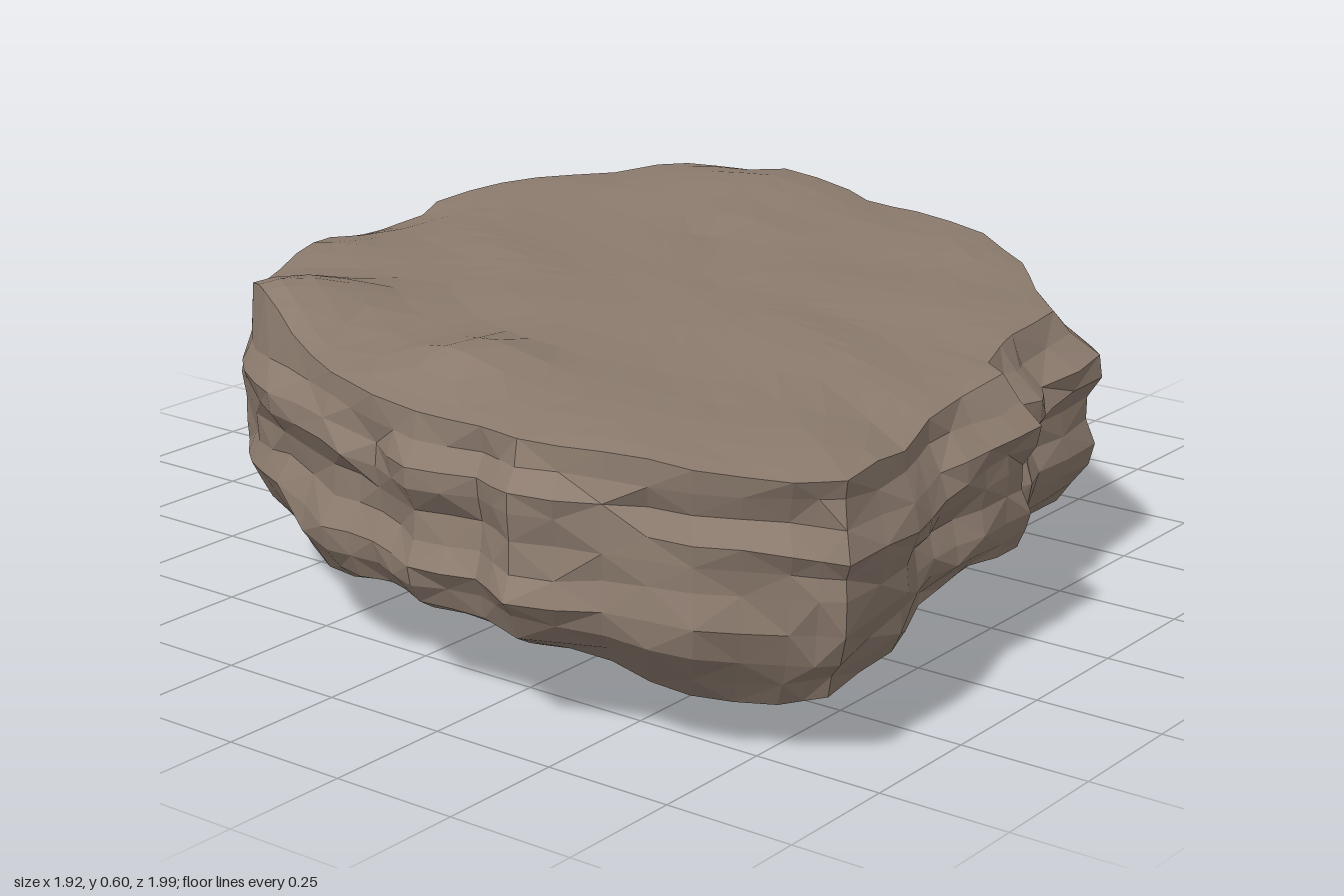
import * as THREE from 'three';

// plan outline as [x, z, rim]: rim is how far the top edge sits inside it, as a share of the radius
const OUTLINE = [
  [0.96, 0.78, 0.03], [0.88, 0.83, 0.01], [0.72, 0.89, 0.02], [0.55, 0.92, 0.04], [0.4, 1, 0.09],
  [0.28, 0.93, 0.04], [0.13, 0.95, 0.06], [0, 0.9, 0.03], [-0.15, 0.87, 0.05], [-0.34, 0.8, 0.07],
  [-0.5, 0.7, 0.06], [-0.6, 0.62, 0.05], [-0.7, 0.47, 0.04], [-0.8, 0.28, 0.04], [-0.88, 0.08, 0.03],
  [-0.97, -0.08, 0.08], [-0.96, -0.18, 0.08], [-0.89, -0.23, 0.03], [-0.94, -0.32, 0.05], [-0.89, -0.5, 0.04],
  [-0.83, -0.68, 0.05], [-0.73, -0.89, 0.05], [-0.61, -0.97, 0.06], [-0.45, -1.03, 0.05], [-0.22, -0.97, 0.06],
  [-0.13, -0.89, 0.03], [0.02, -0.85, 0.01], [0.24, -0.77, 0.01], [0.45, -0.64, 0.05], [0.62, -0.51, 0.11],
  [0.76, -0.39, 0.13], [0.77, -0.15, 0.1], [0.81, -0.07, 0.12], [0.79, 0.03, 0.06], [0.9, 0.08, 0.11],
  [0.9, 0.25, 0.1], [0.9, 0.4, 0.07], [0.94, 0.55, 0.06],
];

const TOP = { scales: [0.12, 0.26, 0.4, 0.54, 0.67, 0.78, 0.87, 0.95, 1], level: 0.545 };
// side ledges: [scale, y, roughness]
const SIDE = [
  [0.975, 0.49, 0.03], [0.98, 0.445, 0.045], [0.985, 0.4, 0.05], [0.965, 0.36, 0.055], [0.96, 0.315, 0.055],
  [0.98, 0.265, 0.05], [0.965, 0.22, 0.05], [0.94, 0.175, 0.05],
];
// underside rings: [scale, y]
const UNDER = [
  [0.89, 0.14], [0.81, 0.115], [0.72, 0.1], [0.61, 0.092], [0.49, 0.086], [0.37, 0.08], [0.25, 0.077], [0.12, 0.075],
];

// rises and hollows as [x, z, radius, height]
const TOP_BUMPS = [
  [-0.46, 0.58, 0.2, 0.07], [0.04, 0.65, 0.12, 0.03], [-0.42, -0.78, 0.2, 0.022],
  [-0.94, -0.12, 0.14, -0.035], [0.92, 0.4, 0.2, -0.017], [-0.72, 0.2, 0.15, 0.015],
];
const UNDER_BUMPS = [
  [0.12, 0.2, 0.17, -0.09], [-0.3, -0.2, 0.14, -0.035], [0.38, 0, 0.1, -0.04],
  [0.7, 0.78, 0.18, -0.04], [-0.7, -0.3, 0.15, -0.03], [0.45, -0.72, 0.28, 0.05],
  [-0.4, -1, 0.24, 0.06], [-0.62, 0.6, 0.22, 0.04], [0.9, 0.2, 0.2, 0.05], [0.95, -0.2, 0.25, 0.03],
];
const relief = (bumps, x, z) => bumps.reduce(
  (sum, [cx, cz, r, h]) => sum + h * Math.exp(-((x - cx) ** 2 + (z - cz) ** 2) / (r * r)), 0);

// seeded lattice noise in -1..1
function hash(i, j, k) {
  const s = Math.sin(i * 127.1 + j * 311.7 + k * 74.7) * 43758.5453;
  return (s - Math.floor(s)) * 2 - 1;
}
function noise(x, y, z) {
  const i = Math.floor(x), j = Math.floor(y), k = Math.floor(z);
  const u = x - i, v = y - j, w = z - k;
  let sum = 0;
  for (let a = 0; a < 2; a++) for (let b = 0; b < 2; b++) for (let c = 0; c < 2; c++) {
    sum += hash(i + a, j + b, k + c) * (a ? u : 1 - u) * (b ? v : 1 - v) * (c ? w : 1 - w);
  }
  return sum;
}

// top face: diagonal ripples and a slightly lowered edge
function topPoint(x, z, scale) {
  const ripple = noise((x * 0.5 - z * 0.85) * 9, 3, (x * 0.85 + z * 0.5) * 3);
  return [x, TOP.level + 0.012 * ripple + relief(TOP_BUMPS, x, z) - 0.013 * scale ** 8, z];
}
// underside: shallow dome with lumps, never below the ground
function underPoint(x, z, level) {
  const lumps = 0.02 * noise(x * 5, 7, z * 5) + 0.014 * noise(x * 11, 2, z * 11);
  return [x, Math.max(0, level + lumps + relief(UNDER_BUMPS, x, z)), z];
}
// side: broad ledges that shift from layer to layer, plus small chips; low layers follow the underside
function sidePoint(px, pz, [scale, level, rough], r) {
  const ledge = 0.7 * noise(px * 4.5, r * 0.9, pz * 4.5) + 0.4 * noise(px * 13, r * 1.7, pz * 13);
  const s = scale + rough * ledge;
  const follow = Math.max(0, (0.3 - level) / 0.16);
  const y = level + 0.022 * noise(px * 6 + 20, r * 0.5, pz * 6) + follow * relief(UNDER_BUMPS, px * s, pz * s);
  return [px * s, y, pz * s];
}

function rockGeometry() {
  // outline with a midpoint on every edge
  const outline = OUTLINE.flatMap((p, i) => {
    const q = OUTLINE[(i + 1) % OUTLINE.length];
    return [p, p.map((v, c) => (v + q[c]) / 2)];
  });
  const n = outline.length;

  // closed rings from the top centre, over the rim, to the middle of the underside
  const rings = [
    ...TOP.scales.map((s) => outline.map(([x, z, rim]) => topPoint(x * s * (1 - rim), z * s * (1 - rim), s))),
    ...SIDE.map((layer, r) => outline.map(([x, z, rim]) => {
      const lean = r === 0 ? 1 - rim * 0.5 : 1;
      return sidePoint(x * lean, z * lean, layer, r);
    })),
    ...UNDER.map(([s, y]) => outline.map(([x, z]) => {
      const edge = 1 + 0.04 * s * noise(x * 6, s * 9, z * 6);
      return underPoint(x * s * edge, z * s * edge, y);
    })),
  ];
  const positions = [topPoint(0, 0, 0), ...rings.flat(), underPoint(0, 0, 0.075)];

  const index = [];
  const at = (r, i) => 1 + r * n + (i % n);
  const last = positions.length - 1, end = rings.length - 1;
  for (let i = 0; i < n; i++) {
    index.push(0, at(0, i + 1), at(0, i));
    for (let r = 0; r < end; r++) {
      const a = at(r, i), b = at(r + 1, i), c = at(r, i + 1), d = at(r + 1, i + 1);
      if ((i + r) % 2) index.push(a, c, b, c, d, b);
      else index.push(a, c, d, a, d, b);
    }
    index.push(last, at(end, i), at(end, i + 1));
  }
  const geometry = new THREE.BufferGeometry();
  geometry.setAttribute('position', new THREE.Float32BufferAttribute(positions.flat(), 3));
  geometry.setIndex(index);
  geometry.computeVertexNormals();
  return geometry;
}

export function createModel() {
  const stone = new THREE.MeshStandardMaterial({ color: 0x8c7b6e, flatShading: true });
  stone.name = 'brown stone';
  const slab = new THREE.Mesh(rockGeometry(), stone);
  slab.name = 'rockSlab';
  const group = new THREE.Group();
  group.name = 'flatRock';
  group.add(slab);
  return group;
}
